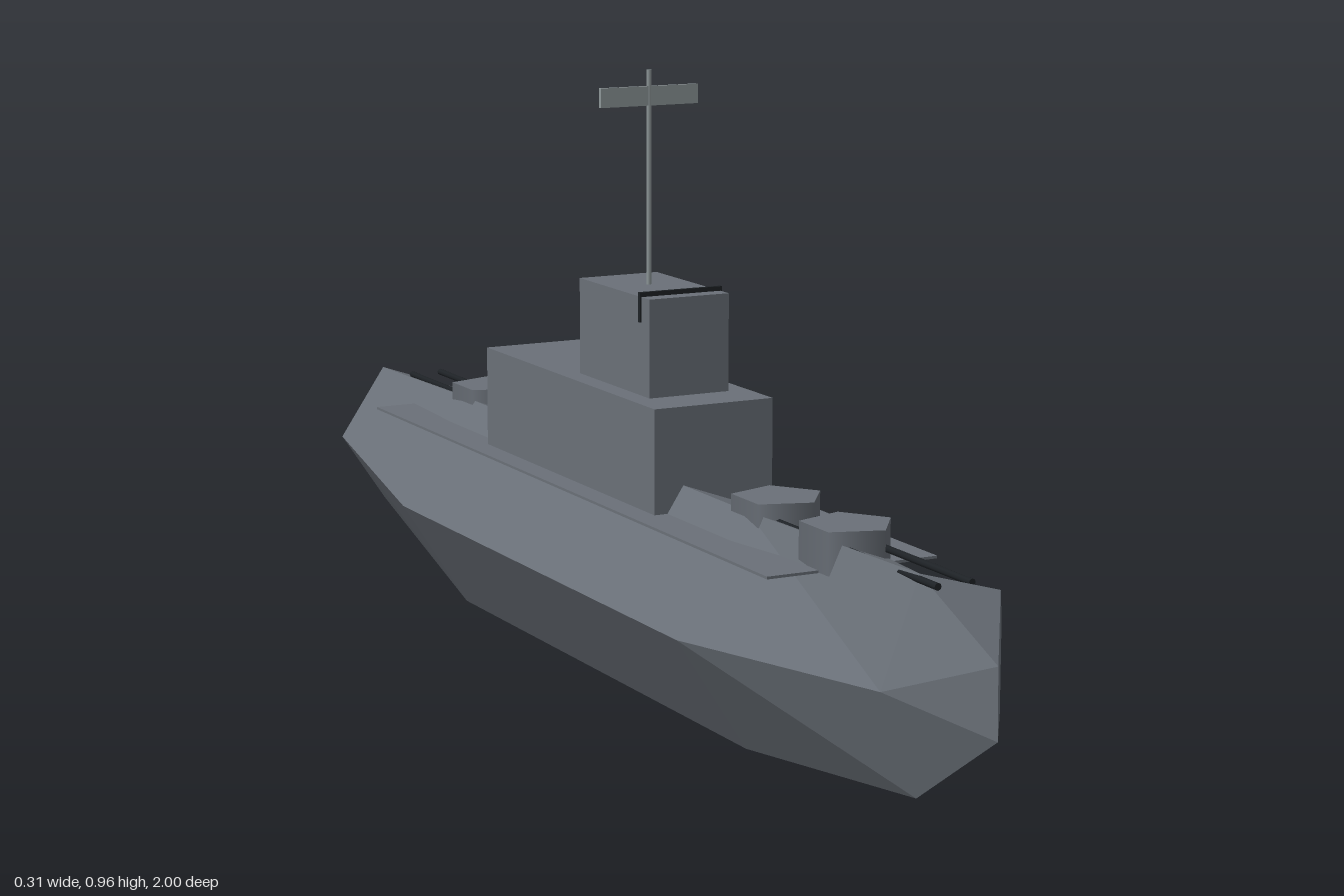
import * as THREE from 'three';

const CX = 0.0136; // centreline of the ship

const mat = (name, color, extra = {}) => {
  const m = new THREE.MeshStandardMaterial({ color, ...extra });
  m.name = name;
  return m;
};

// Five-sided hull lofted through stations [z, centre y, half width, half height]
function hullGeometry() {
  const stations = [
    [1.0, 0.264, 0.002, 0.109],
    [0.84, 0.2, 0.086, 0.166],
    [0.405, 0.18, 0.1686, 0.1885],
    [-0.595, 0.18, 0.1686, 0.1885],
    [-0.99, 0.225, 0.118, 0.127],
  ];
  const n = 5, pos = [], idx = [];
  for (const [z, cy, rx, ry] of stations) {
    for (let k = 0; k < n; k++) {
      const a = ((36 + 72 * k) * Math.PI) / 180;
      pos.push(CX + rx * Math.cos(a), cy + ry * Math.sin(a), z);
    }
  }
  for (let i = 0; i < stations.length - 1; i++) {
    for (let k = 0; k < n; k++) {
      const a = i * n + k, d = i * n + ((k + 1) % n);
      idx.push(a, a + n, d, a + n, d + n, d);
    }
  }
  const s = (stations.length - 1) * n;
  for (let k = 1; k < n - 1; k++) {
    idx.push(0, k, k + 1); // bow cap
    idx.push(s, s + k + 1, s + k); // stern cap
  }
  const g = new THREE.BufferGeometry();
  g.setAttribute('position', new THREE.Float32BufferAttribute(pos, 3));
  g.setIndex(idx);
  const flat = g.toNonIndexed();
  flat.computeVertexNormals();
  return flat;
}

export function createModel() {
  const ship = new THREE.Group();
  ship.name = 'warship';

  const grey = mat('hull grey', 0x6a7078);
  const light = mat('mast grey', 0x8e9799);
  const dark = mat('gun black', 0x1e2226);
  const bronze = mat('propeller bronze', 0xa07840);

  const add = (name, geo, material, x, y, z, parent = ship) => {
    const m = new THREE.Mesh(geo, material);
    m.name = name;
    m.position.set(x, y, z);
    parent.add(m);
    return m;
  };
  const box = (name, w, h, d, material, y, z) =>
    add(name, new THREE.BoxGeometry(w, h, d), material, CX, y, z);

  add('hull', hullGeometry(), grey, 0, 0, 0);
  box('deck', 0.278, 0.004, 1.395, grey, 0.316, -0.0775);

  // Superstructure
  box('superstructure', 0.202, 0.165, 0.6, grey, 0.3975, -0.095);
  box('bridge', 0.136, 0.152, 0.24, grey, 0.556, 0.005);
  box('bridgeWindowBand', 0.142, 0.046, 0.006, dark, 0.616, 0.095);

  // Mast and radar
  add('mast', new THREE.CylinderGeometry(0.004, 0.004, 0.335, 8), light, CX, 0.7975, -0.01);
  box('radarBar', 0.168, 0.03, 0.006, light, 0.925, -0.01);

  // Twin-gun turrets: [name, z, facing]
  const turretGeo = new THREE.CylinderGeometry(0.07, 0.07, 0.063, 5, 1, false, Math.PI / 2);
  const barrelGeo = new THREE.CylinderGeometry(0.0055, 0.0055, 0.28, 8).rotateX(Math.PI / 2);
  for (const [name, z, dir] of [
    ['foreTurret', 0.605, 1],
    ['upperForeTurret', 0.405, 1],
    ['aftTurret', -0.595, -1],
  ]) {
    const turret = new THREE.Group();
    turret.name = name;
    turret.position.set(CX, 0.3465, z);
    ship.add(turret);
    add('turretHousing', turretGeo, grey, 0, 0, 0, turret);
    for (const side of [-1, 1]) {
      add('gunBarrel', barrelGeo, dark, side * 0.027, 0.0035, dir * 0.143, turret);
    }
  }

  // Propeller: two crossed blades on the stern
  box('propellerBladeVertical', 0.01, 0.1, 0.01, bronze, 0.17, -0.994);
  box('propellerBladeHorizontal', 0.1, 0.01, 0.01, bronze, 0.17, -0.994);

  return ship;
}
